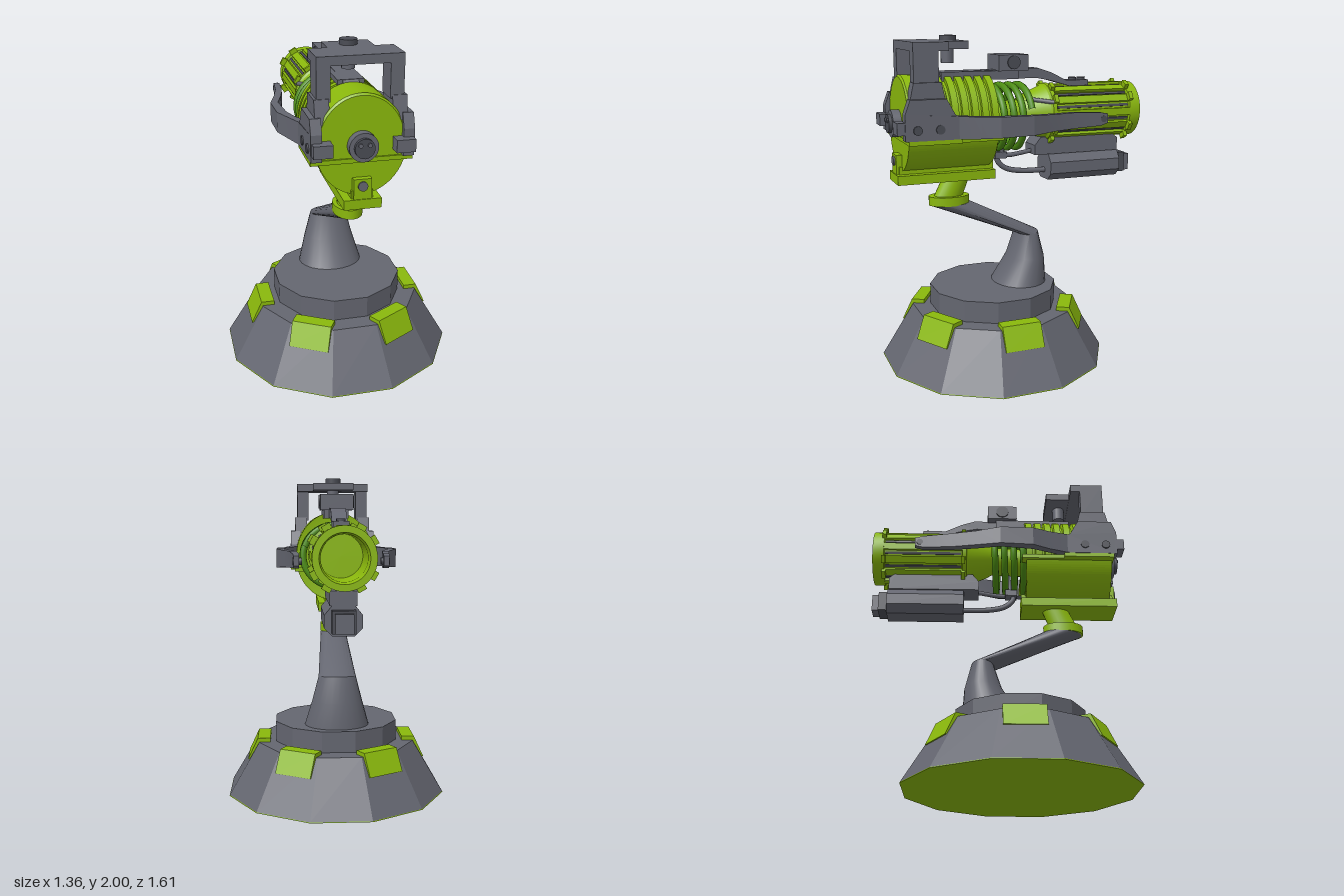
import * as THREE from 'three';
import { toCreasedNormals } from 'three/addons/utils/BufferGeometryUtils.js';

const material = (name, color) => new THREE.MeshStandardMaterial({ name, color });

export function createModel() {
  const root = new THREE.Group();
  const gray = material('slate gray', 0x646670);
  const dark = material('dark gray', 0x4a4c54);
  const green = material('lime green', 0x8ab80c);
  const coilGreen = material('spring green', 0x4c8c12);

  const add = (name, geo, mat, parent = root) => {
    const m = new THREE.Mesh(geo, mat);
    m.name = name;
    parent.add(m);
    return m;
  };
  const box = (name, mat, x0, x1, y0, y1, z0, z1) => {
    const g = new THREE.BoxGeometry(Math.abs(x1 - x0), y1 - y0, Math.abs(z1 - z0));
    g.translate((x0 + x1) / 2, (y0 + y1) / 2, (z0 + z1) / 2);
    return add(name, g, mat);
  };
  // Cylinder between two points
  const rod = (name, mat, a, b, r, sides = 20) => {
    const A = new THREE.Vector3(...a), B = new THREE.Vector3(...b);
    const m = add(name, new THREE.CylinderGeometry(r, r, A.distanceTo(B), sides), mat);
    m.position.copy(A).lerp(B, 0.5);
    m.quaternion.setFromUnitVectors(new THREE.Vector3(0, 1, 0), B.sub(A).normalize());
    return m;
  };
  const tube = (name, mat, pts, r) => add(name, new THREE.TubeGeometry(
    new THREE.CatmullRomCurve3(pts.map(p => new THREE.Vector3(...p))), 30, r, 10), mat);
  const shapeOf = pts => new THREE.Shape(pts.map(p => new THREE.Vector2(...p)));
  // Side outline of [z, y] points given a width along x
  const sidePlate = (name, mat, pts, x0, x1) => {
    const g = new THREE.ExtrudeGeometry(shapeOf(pts), { depth: x1 - x0, bevelEnabled: false });
    g.rotateY(-Math.PI / 2).translate(x1, 0, 0);
    return add(name, g, mat);
  };
  // Turned part along z from [radius, -z] points
  const turned = (name, mat, pts, y, scaleY = 1, sides = 36) => {
    let g = new THREE.LatheGeometry(pts.map(p => new THREE.Vector2(...p)), sides);
    g = toCreasedNormals(g.rotateX(-Math.PI / 2).scale(1, scaleY, 1), 0.5);
    return add(name, g.translate(0, y, 0), mat);
  };
  // Skin over closed rings of [x, y, z] points, capped at both ends
  const loft = (name, mat, rings, crease) => {
    const n = rings[0].length, last = (rings.length - 1) * n, idx = [];
    for (let i = 0; i < rings.length - 1; i++) for (let j = 0; j < n; j++) {
      const a = i * n + j, b = i * n + (j + 1) % n;
      idx.push(a, b, b + n, a, b + n, a + n);
    }
    for (let j = 1; j < n - 1; j++) idx.push(0, j + 1, j, last, last + j, last + j + 1);
    const g = new THREE.BufferGeometry();
    g.setAttribute('position', new THREE.Float32BufferAttribute(rings.flat(2), 3));
    g.setIndex(idx);
    return add(name, toCreasedNormals(g, crease), mat);
  };

  // Twelve-sided base
  const cz = 0.125;
  const prism = (name, mat, rTop, rBottom, y0, y1) => {
    const g = new THREE.CylinderGeometry(rTop, rBottom, y1 - y0, 12).toNonIndexed();
    g.rotateY(Math.PI / 12).translate(0, (y0 + y1) / 2, cz);
    g.computeVertexNormals();
    return add(name, g, mat);
  };
  prism('baseUnderside', green, 0.702, 0.704, 0, 0.005);
  prism('baseSkirt', gray, 0.507, 0.702, 0.005, 0.33);
  prism('turntable', gray, 0.396, 0.396, 0.33, 0.46);
  for (let i = 0; i < 6; i++) {
    const g = new THREE.ExtrudeGeometry(
      shapeOf([[0.42, 0.32], [0.53, 0.22], [0.563, 0.22], [0.5, 0.355], [0.42, 0.355]]),
      { depth: 0.24, bevelEnabled: false });
    g.translate(0, 0, -0.12).rotateY(i * Math.PI / 3).translate(0, 0, cz);
    add('basePad', g, green);
  }

  // Bent support arm: [front y, front z, back y, back z, half width]
  const bend = [[0.46, 0.12, 0.46, -0.22, 0.2], [0.62, 0.02, 0.62, -0.21, 0.155],
    [0.77, -0.03, 0.78, -0.17, 0.115], [0.99, 0.52, 1.0, 0.27, 0.083]];
  loft('supportArm', gray, bend.map(([fy, fz, by, bz, w]) => Array.from({ length: 24 }, (_, j) => {
    const t = j / 24 * Math.PI * 2, c = Math.cos(t) / 2;
    return [w * Math.sin(t), (fy + by) / 2 + c * (fy - by), (fz + bz) / 2 + c * (fz - bz)];
  })), 0.6);
  const collar = add('swivelCollar', new THREE.CylinderGeometry(0.085, 0.085, 0.055, 24), green);
  collar.position.set(0, 1.02, 0.405);
  collar.scale.z = 1.47;
  loft('neck', green, [[1.04, 0.41, 0.09], [1.2, 0.34, 0.08]].map(([y, z, r]) =>
    Array.from({ length: 20 }, (_, j) => {
      const t = j / 20 * Math.PI * 2;
      return [0.06 * Math.sin(t), y, z + r * Math.cos(t)];
    })), 0.6);

  // Mounting rail
  box('mountRail', green, -0.105, 0.105, 1.15, 1.205, 0.14, 0.74);
  box('mountRailTop', green, -0.06, 0.06, 1.2, 1.25, 0.14, 0.72);
  box('mountLug', green, -0.05, 0.05, 1.2, 1.32, 0.68, 0.735);
  rod('mountBolt', gray, [0, 1.28, 0.72], [0, 1.28, 0.745], 0.027);

  // Main housing with ribs
  const profile = [[0, -0.7], [0.235, -0.7], [0.245, -0.69], [0.245, -0.47]];
  for (let z = 0.46; z > 0.22; z -= 0.06)
    profile.push([0.222, -z], [0.222, -z + 0.015], [0.245, -z + 0.015], [0.245, -z + 0.055]);
  profile.push([0.21, -0.17], [0, -0.17]);
  turned('housing', green, profile, 1.505, 1.12, 48);
  const belly = new THREE.Shape();
  belly.absellipse(0, 1.505, 0.25, 0.285, Math.PI + 0.3, 2 * Math.PI - 0.3);
  add('housingBelly', new THREE.ExtrudeGeometry(belly,
    { depth: 0.53, bevelEnabled: false, curveSegments: 24 }).translate(0, 0, 0.17), green);
  box('housingFlange', green, -0.28, 0.28, 1.405, 1.43, 0.4, 0.71);
  box('housingFlangeRear', green, -0.255, 0.255, 1.405, 1.43, 0.14, 0.4);
  rod('frontDial', gray, [0, 1.5, 0.69], [0, 1.5, 0.75], 0.08, 28);
  rod('frontDialCap', dark, [0, 1.5, 0.74], [0, 1.5, 0.77], 0.055, 24);
  for (const s of [-1, 1])
    rod('dialPin', gray, [s * 0.025, 1.52, 0.76], [s * 0.025, 1.52, 0.778], 0.012, 10);

  // Coil spring around the core
  rod('core', green, [0, 1.51, 0.2], [0, 1.52, -0.06], 0.09, 24);
  const coil = Array.from({ length: 97 }, (_, i) => {
    const t = i / 96 * 8.4 * Math.PI;
    return new THREE.Vector3(0.205 * Math.sin(t), 1.51 + 0.19 * Math.cos(t), 0.19 - 0.25 * i / 96);
  });
  add('spring', new THREE.TubeGeometry(new THREE.CatmullRomCurve3(coil), 260, 0.021, 10), coilGreen);

  // Hollow barrel with lengthwise ribs
  turned('barrel', green, [[0, 0.02], [0.085, 0.03], [0.115, 0.08], [0.165, 0.2], [0.178, 0.21], [0.178, 0.235],
    [0.155, 0.24], [0.155, 0.73], [0.172, 0.735], [0.172, 0.805], [0.135, 0.805],
    [0.125, 0.76], [0.125, 0.45], [0, 0.45]], 1.527);
  for (let i = 0; i < 12; i++) {
    const spoke = new THREE.Group();
    spoke.name = 'barrelRibs';
    spoke.position.y = 1.527;
    spoke.rotation.z = i * Math.PI / 6;
    root.add(spoke);
    add('rib', new THREE.BoxGeometry(0.045, 0.03, 0.5).translate(0, 0.155, -0.485), green, spoke);
    add('slot', new THREE.BoxGeometry(0.016, 0.008, 0.48).rotateZ(0)
      .translate(0, 0.157, -0.485), dark, spoke).rotation.z = Math.PI / 12;
    if (i % 3 === 1 || i % 3 === 2) for (const z of [-0.23, -0.735])
      add('clampTab', new THREE.BoxGeometry(0.05, 0.04, 0.025).translate(0, 0.18, z), green, spoke);
  }

  // Side plates, long arms and front tabs, mirrored
  const arm = [[0.72, 0.23, 0.28, 1.43, 1.58], [0.42, 0.23, 0.285, 1.43, 1.56], [0.3, 0.28, 0.325, 1.43, 1.555],
    [0.2, 0.31, 0.365, 1.435, 1.555], [0, 0.325, 0.37, 1.44, 1.555], [-0.15, 0.28, 0.325, 1.45, 1.55],
    [-0.3, 0.25, 0.29, 1.455, 1.55], [-0.48, 0.235, 0.27, 1.46, 1.54], [-0.53, 0.235, 0.265, 1.475, 1.53]];
  for (const s of [-1, 1]) {
    const across = (a, b) => s > 0 ? [a, b] : [-b, -a];
    loft('sideArm', gray, arm.map(([z, a, b, y0, y1]) => {
      const ring = [[b * s, y0, z], [a * s, y0, z], [a * s, y1, z], [b * s, y1, z]];
      return s > 0 ? ring : ring.reverse();
    }), 0.3);
    sidePlate('sidePlate', gray, [[0.73, 1.43], [0.73, 1.58], [0.7, 1.66], [0.49, 1.66],
      [0.44, 1.57], [0.4, 1.55], [0.4, 1.43]].reverse(), ...across(0.22, 0.28));
    sidePlate('shoulderPlate', gray, [[0.7, 1.62], [0.67, 1.75], [0.51, 1.75], [0.48, 1.62]].reverse(),
      ...across(0.17, 0.25));
    box('frontTab', gray, ...across(0.17, 0.275), 1.465, 1.535, 0.7, 0.775);
    for (const z of [0.66, 0.53])
      rod('sideBolt', dark, [s * 0.27, 1.49, z], [s * 0.29, 1.49, z], 0.026, 16);
    rod('armPin', dark, [s * 0.22, 1.5, -0.5], [s * 0.27, 1.5, -0.5], 0.02, 12);
    rod('coneStrut', gray, [s * 0.08, 1.62, -0.07], [s * 0.16, 1.6, -0.22], 0.013, 10);
    // Post of the top frame
    box('framePost', gray, ...across(0.16, 0.235), 1.73, 1.97, 0.52, 0.665);
  }

  // Top frame with knob
  box('frameBar', gray, -0.235, 0.235, 1.92, 1.97, 0.46, 0.665);
  box('frameTongue', gray, -0.13, 0.13, 1.925, 1.97, 0.31, 0.47);
  rod('knob', dark, [0, 1.96, 0.395], [0, 2.0, 0.395], 0.05, 20);
  rod('knobStem', gray, [0, 1.84, 0.4], [0, 1.93, 0.4], 0.038, 16);

  // Top rail
  sidePlate('topRail', gray, [[0.5, 1.74], [0.46, 1.79], [-0.16, 1.8], [-0.25, 1.77], [-0.35, 1.72], [-0.5, 1.72],
    [-0.5, 1.685], [-0.37, 1.685], [-0.25, 1.72], [-0.15, 1.74]].reverse(), -0.045, 0.045);
  box('railPlate', gray, -0.075, 0.075, 1.74, 1.792, -0.02, 0.46);
  box('sightBlock', gray, -0.1, 0.1, 1.79, 1.885, -0.075, 0.115);
  rod('sightBolt', dark, [-0.108, 1.84, 0.02], [0.108, 1.84, 0.02], 0.04, 20);
  for (const z of [-0.41, -0.47]) rod('railButton', dark, [0, 1.71, z], [0, 1.735, z], 0.026, 16);
  box('barrelKey', green, -0.03, 0.03, 1.67, 1.7, -0.72, -0.5);

  // Canister under the barrel
  sidePlate('canisterBracket', gray, [[-0.13, 1.33], [-0.17, 1.38], [-0.66, 1.38], [-0.7, 1.35],
    [-0.7, 1.27], [-0.13, 1.27]], -0.075, 0.075);
  const can = shapeOf([[-0.06, 1.105], [0.06, 1.105], [0.105, 1.15], [0.105, 1.22],
    [0.06, 1.275], [-0.06, 1.275], [-0.105, 1.22], [-0.105, 1.15]]);
  add('canister', new THREE.ExtrudeGeometry(can, { depth: 0.48, bevelEnabled: false })
    .translate(0, 0, -0.705), gray);
  box('canisterNeck', dark, -0.065, 0.065, 1.125, 1.25, -0.76, -0.7);
  box('canisterCap', gray, -0.05, 0.05, 1.13, 1.235, -0.8, -0.75);

  // Hoses
  tube('lowerHose', gray, [[0, 1.3, 0.09], [0, 1.24, 0.09], [0, 1.19, 0.04],
    [0, 1.165, -0.06], [0, 1.16, -0.24]], 0.017);
  tube('upperHose', gray, [[0.03, 1.44, 0.06], [0.03, 1.34, 0.07], [0.02, 1.28, 0.06], [0, 1.29, -0.16]], 0.014);
  box('hoseFitting', gray, -0.035, 0.035, 1.255, 1.295, 0.04, 0.115);

  return root;
}
